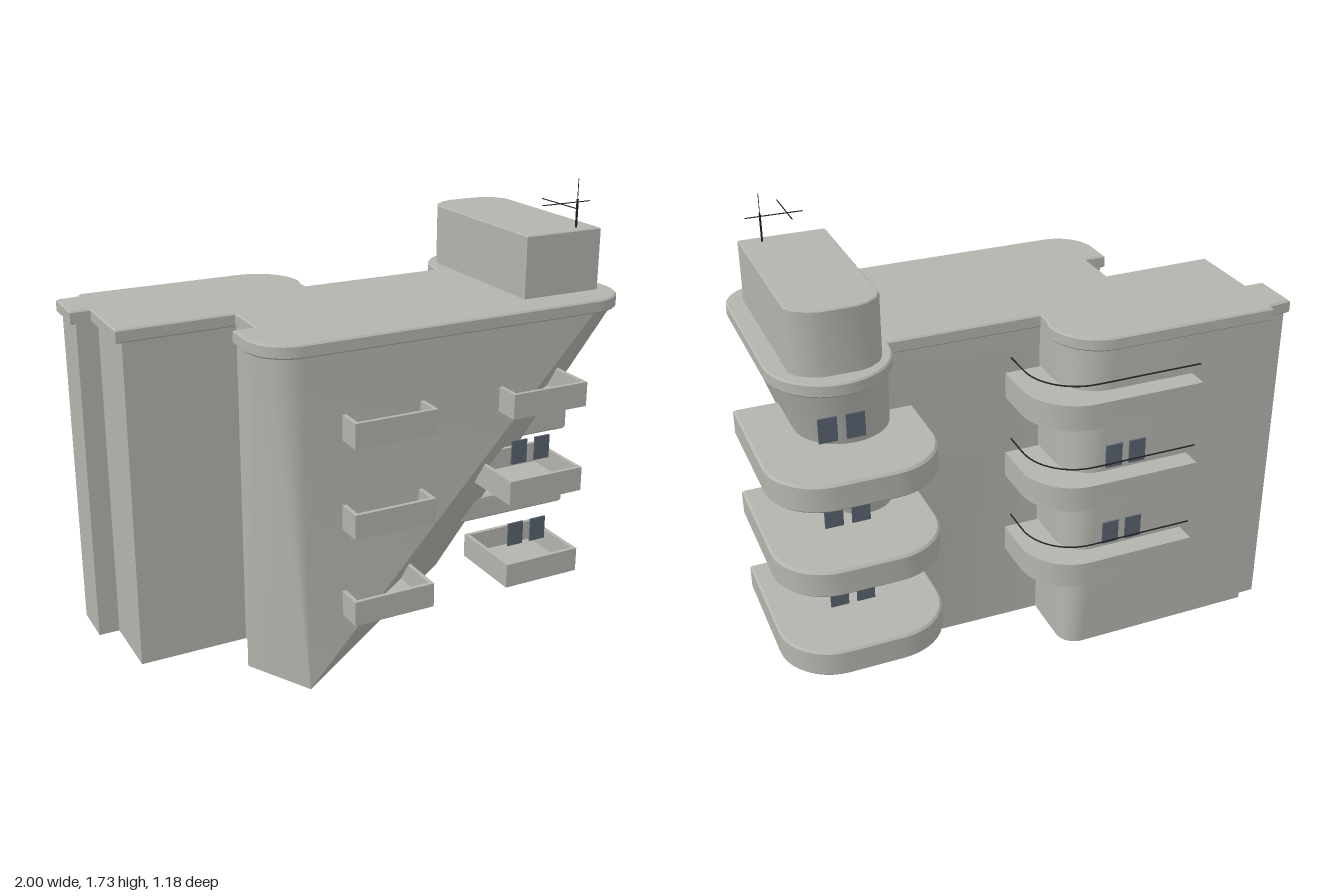
import * as THREE from 'three';
import { toCreasedNormals } from 'three/addons/utils/BufferGeometryUtils.js';

// arc points [x, z]; 0 deg = +x, 90 deg = back (-z), 270 deg = front (+z)
function arc(cx, cz, r, from, to, n = 10) {
  return Array.from({ length: n + 1 }, (_, i) => {
    const a = THREE.MathUtils.degToRad(from + ((to - from) * i) / n);
    return [cx + r * Math.cos(a), cz - r * Math.sin(a)];
  });
}

// slab from a plan outline, standing from y0 to y1
function slab(points, y0, y1, bevel = 0) {
  const shape = new THREE.Shape(points.map(([x, z]) => new THREE.Vector2(x, -z)));
  const g = new THREE.ExtrudeGeometry(shape, {
    depth: y1 - y0 - 2 * bevel, bevelEnabled: bevel > 0, bevelSize: bevel,
    bevelThickness: bevel, bevelOffset: -bevel, bevelSegments: 1,
  });
  g.rotateX(-Math.PI / 2).translate(0, y0 + bevel, 0);
  return toCreasedNormals(g, 0.5);
}

// walls between a top outline and a bottom outline of equal count
function loft(top, bottom, height) {
  const pos = [];
  const tri = (a, b, c) => {
    const area = b.clone().sub(a).cross(c.clone().sub(a)).length();
    if (area > 1e-6) [a, b, c].forEach((p) => pos.push(p.x, p.y, p.z));
  };
  const at = ([x, z], y) => new THREE.Vector3(x, y, z);
  top.forEach((_, i) => {
    const j = (i + 1) % top.length;
    const b0 = at(bottom[i], 0), b1 = at(bottom[j], 0);
    const t0 = at(top[i], height), t1 = at(top[j], height);
    tri(b0, t1, t0);
    tri(b0, b1, t1);
  });
  const g = new THREE.BufferGeometry();
  g.setAttribute('position', new THREE.Float32BufferAttribute(pos, 3));
  return toCreasedNormals(g, 0.4);
}

export function createModel() {
  const model = new THREE.Group();
  const mat = (name, color, side = THREE.FrontSide) => {
    const m = new THREE.MeshStandardMaterial({ color, side });
    m.name = name;
    return m;
  };
  const concrete = mat('concrete', 0xb4b4ae);
  const glass = mat('window glass', 0x59636f);
  const metal = mat('dark metal', 0x202224);

  const add = (name, geometry, material, parent = model) => {
    const m = new THREE.Mesh(geometry, material);
    m.name = name;
    parent.add(m);
    return m;
  };
  const box = (name, x0, x1, y0, y1, z0, z1, material, parent) =>
    add(name, new THREE.BoxGeometry(x1 - x0, y1 - y0, z1 - z0)
      .translate((x0 + x1) / 2, (y0 + y1) / 2, (z0 + z1) / 2), material, parent);

  // Walls: rounded corners at the roof run down to single points at the ground
  const P = [-0.41, 0.49], Q = [0.49, -0.15];
  const top = [], bottom = [], foot = [];
  const same = (...pts) => pts.forEach((p) => { top.push(p); bottom.push(p); foot.push(p); });
  const toPoint = (pts, p) => {
    pts.forEach((t) => { top.push(t); bottom.push(p); });
    foot.push(p);
  };
  same([-0.98, -0.23], [-0.9, -0.23], [-0.9, 0.05], [-0.48, 0.05], [-0.48, 0.24], [-0.55, 0.24]);
  toPoint(arc(-0.42, 0.36, 0.13, 180, 270), P);
  toPoint([...arc(0.76, 0.34, 0.15, -90, 0), ...arc(0.7, -0.19, 0.205, 0, 180, 16), [0.495, -0.16]], Q);
  same([-0.105, -0.16]);
  const wingTop = arc(-0.27, -0.27, 0.165, 0, 90);
  const wingFoot = arc(-0.18, -0.36, 0.075, 0, 90);
  top.push(...wingTop);
  bottom.push(...wingFoot);
  foot.push(...wingFoot);
  same([-0.9, -0.435], [-0.9, -0.41], [-0.98, -0.41]);
  add('walls', loft(top, bottom, 1.27), concrete);
  const base = new THREE.ShapeGeometry(new THREE.Shape(foot.map(([x, z]) => new THREE.Vector2(x, z))));
  add('underside', base.rotateX(Math.PI / 2), concrete);

  // Roof slab with a slight overhang
  add('roof', slab([
    [-1, -0.23], [-0.925, -0.23], [-0.925, 0.065], [-0.485, 0.055], [-0.485, 0.24], [-0.57, 0.24],
    ...arc(-0.42, 0.35, 0.15, 180, 270), ...arc(0.77, 0.345, 0.152, -90, 0),
    ...arc(0.7, -0.19, 0.222, 0, 180, 16), [0.475, -0.175], [-0.1, -0.175], [-0.1, -0.22],
    ...arc(-0.27, -0.27, 0.182, 0, 90), [-0.905, -0.452], [-0.905, -0.425], [-1, -0.415],
  ], 1.26, 1.31, 0.006), concrete);

  // Rooftop room with a rounded back
  add('rooftopRoom', slab([
    [0.53, 0.365], [0.855, 0.365], [0.855, -0.27], [0.835, -0.305], [0.79, -0.335], [0.75, -0.347],
    [0.63, -0.347], [0.59, -0.335], [0.55, -0.305], [0.53, -0.27],
  ], 1.3, 1.545, 0.004), concrete);

  // Antenna
  const antenna = new THREE.Group();
  antenna.name = 'antenna';
  model.add(antenna);
  box('mast', 0.772, 0.778, 1.54, 1.65, 0.317, 0.323, metal, antenna);
  box('mastTip', 0.774, 0.776, 1.65, 1.725, 0.319, 0.321, metal, antenna);
  box('crossBar', 0.62, 0.83, 1.638, 1.641, 0.318, 0.321, metal, antenna);
  box('boom', 0.679, 0.682, 1.644, 1.647, 0.23, 0.45, metal, antenna);

  [0, 1, 2].forEach((floor) => {
    const y = 0.275 + floor * 0.335;

    // Front balconies: open trays with parapets
    [[-0.28, 0.04], [0.352, 0.667]].forEach(([x0, x1]) => {
      const tray = new THREE.Group();
      tray.name = 'frontBalcony';
      model.add(tray);
      const t = 0.015, h = y + 0.093;
      box('balconyFloor', x0, x1, y, y + 0.015, 0.29, 0.588, concrete, tray);
      box('frontParapet', x0, x1, y, h, 0.588 - t, 0.588, concrete, tray);
      box('backParapet', x0, x1, y, h, 0.29, 0.29 + t, concrete, tray);
      box('sideParapet', x0, x0 + t, y, h, 0.29, 0.588, concrete, tray);
      box('sideParapet', x1 - t, x1, y, h, 0.29, 0.588, concrete, tray);
    });

    // Large rounded balconies around the tower
    add('towerBalcony', slab([
      [0.5, 0.035], [0.995, 0.035], ...arc(0.795, -0.39, 0.2, 0, 90), ...arc(0.595, -0.39, 0.2, 90, 180),
      [0.395, -0.17], [0.5, -0.17],
    ], y, y + 0.103, 0.008), concrete);

    // Wing balconies with a curved handrail
    const wy = y + 0.055;
    add('wingBalcony', slab([
      [-0.2, -0.17], [0.035, -0.17], ...arc(-0.165, -0.315, 0.2, 0, 90),
      [-0.59, -0.515], [-0.59, -0.4], [-0.2, -0.4],
    ], wy, wy + 0.1), concrete);
    const path = [[0.025, -0.2], ...arc(-0.165, -0.315, 0.19, 0, 90), [-0.35, -0.505], [-0.58, -0.505]];
    const curve = new THREE.CatmullRomCurve3(path.map(([x, z]) => new THREE.Vector3(x, wy + 0.173, z)));
    add('handrail', new THREE.TubeGeometry(curve, 40, 0.003, 5), metal);

    // Window pairs
    [0, 1].forEach((k) => {
      const tx = 0.635 + k * 0.097;
      box('towerWindow', tx, tx + 0.066, y + 0.143, y + 0.235, -0.388, -0.382, glass);
      if (floor === 2) return;
      const fx = 0.425 + k * 0.1;
      box('frontWindow', fx, fx + 0.066, y + 0.108, y + 0.2, 0.475, 0.481, glass);
      const wx = -0.41 + k * 0.095;
      box('wingWindow', wx, wx + 0.066, y + 0.17, y + 0.262, -0.442, -0.436, glass);
    });
  });

  return model;
}
